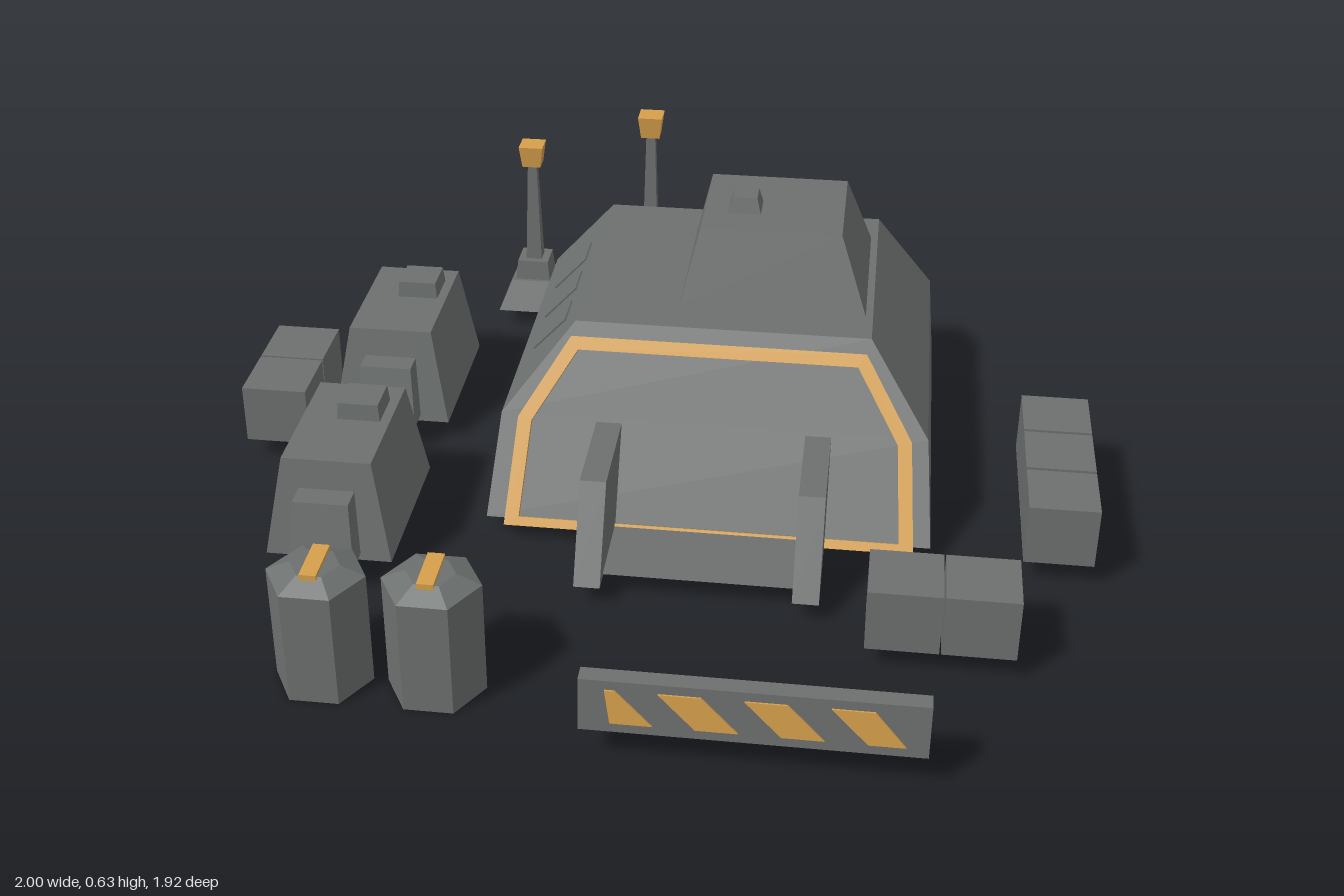
import * as THREE from 'three';

const gray = new THREE.MeshStandardMaterial({ color: 0x6c706e, flatShading: true, side: THREE.DoubleSide });
gray.name = 'concrete gray';
const amber = new THREE.MeshStandardMaterial({ color: 0xd6a04c, flatShading: true, side: THREE.DoubleSide });
amber.name = 'warning amber';

function add(parent, name, geometry, material = gray) {
  const mesh = new THREE.Mesh(geometry, material);
  mesh.name = name;
  parent.add(mesh);
  return mesh;
}

// Block between two rectangles [x0, x1, z0, z1]; 'skip' lists faces left open (2 top, 3 bottom)
function block(low, high, y0, y1, skip = [3]) {
  const g = new THREE.BoxGeometry(1, 1, 1);
  const p = g.attributes.position;
  for (let i = 0; i < p.count; i++) {
    const up = p.getY(i) > 0;
    const r = up ? high : low;
    p.setXYZ(i, p.getX(i) > 0 ? r[1] : r[0], up ? y1 : y0, p.getZ(i) > 0 ? r[3] : r[2]);
  }
  const index = Array.from(g.index.array).filter((v, i) => !skip.includes(Math.floor(i / 6)));
  g.setIndex(index);
  g.clearGroups();
  g.computeVertexNormals();
  return g;
}

const square = (x, z, s) => [x - s / 2, x + s / 2, z - s / 2, z + s / 2];

function polygon(points) {
  return new THREE.Shape(points.map(([x, y]) => new THREE.Vector2(x, y)));
}

function plate(shape, depth) {
  return new THREE.ExtrudeGeometry(shape, { depth, bevelEnabled: false });
}

function buildHall(root) {
  const hall = new THREE.Group();
  hall.name = 'mainHall';
  root.add(hall);
  const base = [-0.316, 0.654, -0.735, 0.15];
  const waist = [-0.297, 0.635, -0.716, 0.036];
  const roof = [-0.146, 0.5, -0.668, -0.067];
  add(hall, 'lowerWalls', block(base, waist, 0.045, 0.247, [2, 3]));
  add(hall, 'slopedRoof', block(waist, roof, 0.247, 0.43));
  add(hall, 'roofCabin', block([0.072, 0.484, -0.565, -0.167], [0.11, 0.422, -0.515, -0.225], 0.43, 0.595));
  add(hall, 'roofHatch', block(square(0.2, -0.346, 0.074), square(0.2, -0.346, 0.055), 0.595, 0.63));

  // Amber frame lying on the slanted front
  const frame = polygon([[-0.275, -0.015], [0.618, -0.015], [0.6, 0.225], [0.492, 0.408], [-0.152, 0.408], [-0.258, 0.225]]);
  frame.holes.push(polygon([[-0.243, 0.005], [-0.228, 0.218], [-0.135, 0.379], [0.475, 0.379], [0.57, 0.218], [0.586, 0.005]]));
  const trim = add(hall, 'frontFrame', plate(frame, 0.012), amber);
  trim.position.set(0, 0.045, 0.15);
  trim.rotation.x = -Math.atan2(0.217, 0.385);

  // Buttresses either side of the entrance, with the floor between
  const side = polygon([[0.04, 0.045], [0.385, 0.045], [0.277, 0.24], [0.04, 0.24]]);
  for (const x of [-0.03, 0.427]) {
    const buttress = add(hall, 'entranceButtress', plate(side, 0.056));
    buttress.rotation.y = -Math.PI / 2;
    buttress.position.x = x;
  }
  const floor = add(hall, 'entranceFloor', new THREE.PlaneGeometry(0.402, 0.22));
  floor.rotation.x = -Math.PI / 2;
  floor.position.set(0.171, 0.05, 0.23);

  // Slanted panels on the left roof slope
  const slope = new THREE.Group();
  slope.name = 'slopePanels';
  slope.rotation.order = 'YXZ';
  slope.rotation.set(-Math.atan2(0.151, 0.183), -Math.PI / 2, 0);
  slope.position.set(-0.297, 0.247, 0);
  hall.add(slope);
  const panel = polygon([[-0.06, 0.06], [0.03, 0.06], [0.06, 0.185], [-0.03, 0.185]]);
  for (const z of [-0.5, -0.35, -0.2]) add(slope, 'slopePanel', plate(panel, 0.004)).position.x = z;
}

function buildShed(root, z) {
  const shed = new THREE.Group();
  shed.name = 'shed';
  shed.position.set(-0.62, 0, z);
  root.add(shed);
  add(shed, 'shedWalls', block([-0.137, 0.137, -0.188, 0.188], [-0.097, 0.097, -0.168, 0.15], 0.045, 0.265));
  add(shed, 'shedHatch', block(square(0.028, -0.066, 0.095), square(0.028, -0.066, 0.088), 0.265, 0.303));
  add(shed, 'shedPorch', block([-0.07, 0.07, 0.1, 0.245], [-0.06, 0.06, 0.1, 0.215], 0.06, 0.2));
}

function buildLamp(root, x, z, top) {
  const lamp = new THREE.Group();
  lamp.name = 'lampPost';
  lamp.position.set(x, 0, z);
  root.add(lamp);
  const s = (size) => square(0, 0, size);
  add(lamp, 'lampFoot', block(s(0.168), s(0.105), 0.045, 0.12));
  add(lamp, 'lampPlinth', block(s(0.088), s(0.078), 0.12, 0.17));
  add(lamp, 'lampPole', block(s(0.04), s(0.022), 0.17, top - 0.05));
  add(lamp, 'lampHead', block(s(0.046), s(0.06), top - 0.055, top, []), amber);
}

function buildBarrier(root) {
  const barrier = new THREE.Group();
  barrier.name = 'barrier';
  barrier.position.set(0, 0, 0.843);
  root.add(barrier);
  add(barrier, 'barrierBeam', block([0, 0.652, -0.025, 0.025], [0, 0.652, -0.018, 0.018], 0.075, 0.188, []));
  // Diagonal stripes, cut off at the ends of the painted field
  const clip = (x) => Math.min(Math.max(x, 0.05), 0.61);
  for (let k = 0; k < 4; k++) {
    const a = 0.06 + k * 0.16;
    const stripe = polygon([[clip(a), 0], [clip(a + 0.08), 0], [clip(a + 0.01), 0.073], [clip(a - 0.07), 0.073]]);
    const mesh = add(barrier, 'barrierStripe', plate(stripe, 0.004), amber);
    mesh.position.set(0, 0.096, 0.0235);
    mesh.rotation.x = -Math.atan2(0.007, 0.113);
  }
}

function buildBarrel(root, x, z) {
  const barrel = new THREE.Group();
  barrel.name = 'barrel';
  barrel.position.set(x, 0, z);
  root.add(barrel);
  add(barrel, 'barrelBody', new THREE.CylinderGeometry(0.1, 0.1, 0.25, 6)).position.y = 0.125;
  add(barrel, 'barrelLid', new THREE.CylinderGeometry(0.05, 0.1, 0.022, 6)).position.y = 0.261;
  const handle = add(barrel, 'barrelHandle', new THREE.BoxGeometry(0.034, 0.022, 0.105), amber);
  handle.position.y = 0.269;
  handle.rotation.y = Math.PI / 6;
}

export function createModel() {
  const model = new THREE.Group();
  model.name = 'outpost';

  // Everything but the barrels is laid out on a plan turned by 30 degrees
  const plan = new THREE.Group();
  plan.name = 'outpostPlan';
  plan.rotation.y = Math.PI / 6;
  model.add(plan);

  buildHall(plan);
  for (const z of [-0.415, 0.16]) buildShed(plan, z);
  buildLamp(plan, -0.385, -0.883, 0.485);
  buildLamp(plan, -0.081, -0.886, 0.58);
  buildBarrier(plan);

  const crates = [[-0.856, -0.315], [-0.856, -0.16], [0.924, -0.211], [0.924, -0.053], [0.924, 0.105], [0.598, 0.448], [0.751, 0.448]];
  for (const [x, z] of crates) add(plan, 'crate', block(square(x, z, 0.149), square(x, z, 0.149), 0.05, 0.188));

  buildBarrel(model, -0.128, 0.86);
  buildBarrel(model, 0.07, 0.745);
  return model;
}
